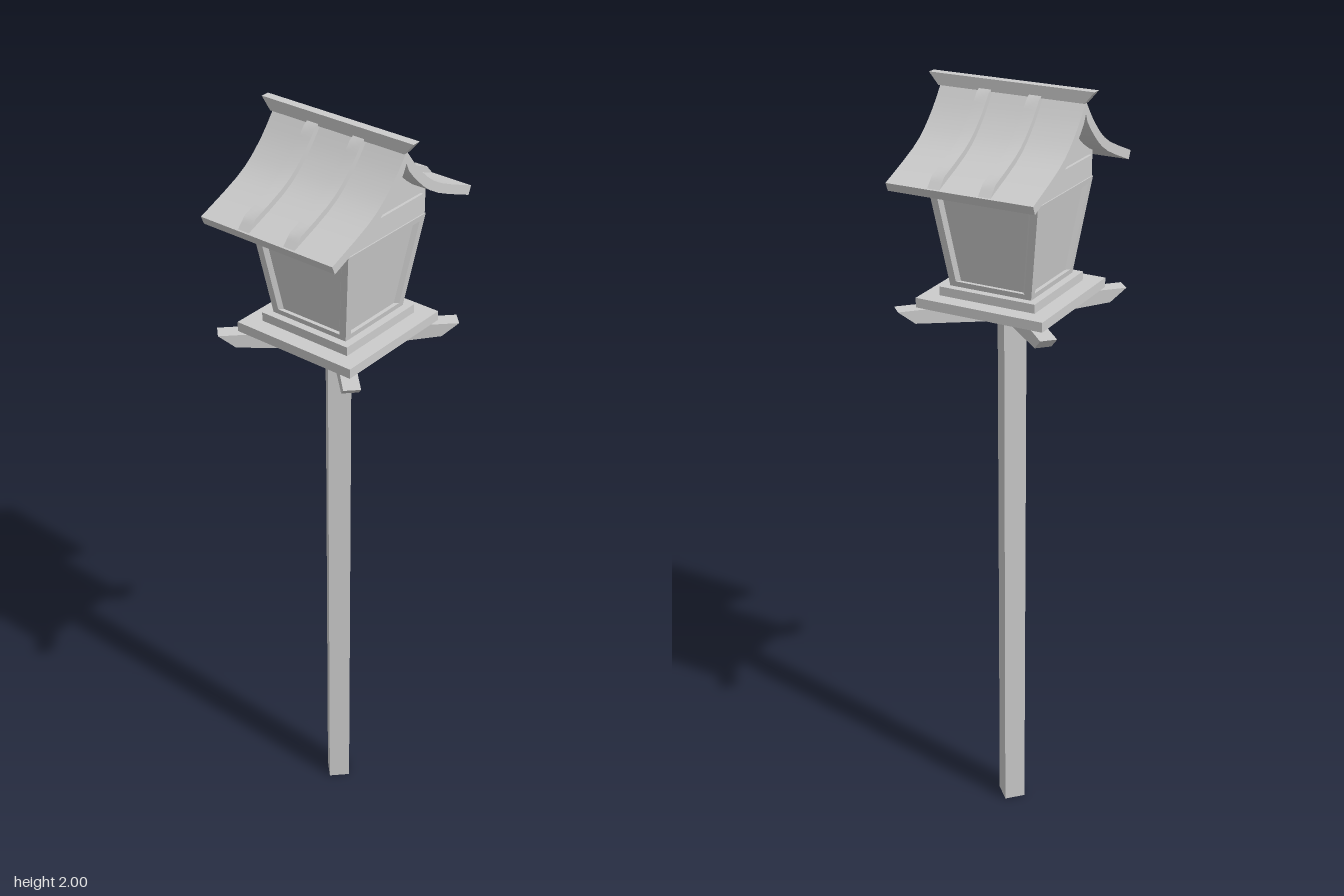
import * as THREE from 'three';
import { toCreasedNormals } from 'three/addons/utils/BufferGeometryUtils.js';

const material = new THREE.MeshStandardMaterial({ color: 0xcccccc });

const v2 = (list) => list.map(([x, y]) => new THREE.Vector2(x, y));

function add(parent, name, geometry) {
  const mesh = new THREE.Mesh(geometry, material);
  mesh.name = name;
  parent.add(mesh);
  return mesh;
}

// Extrudes an outline by a centred width
function prism(points, width) {
  const geometry = new THREE.ExtrudeGeometry(new THREE.Shape(points), { depth: width, bevelEnabled: false });
  return geometry.translate(0, 0, -width / 2);
}

// Same, with the outline drawn in (z, y) and the width running along x
const prismX = (points, width) => prism(points, width).rotateY(-Math.PI / 2);

function box(parent, name, w, h, d, y) {
  return add(parent, name, new THREE.BoxGeometry(w, h, d).translate(0, y + h / 2, 0));
}

// Tapered lantern: half width at a given height
const BODY_LOW = 1.53, BODY_HIGH = 1.765;
const half = (y) => 0.107 + (0.14 - 0.107) * (y - BODY_LOW) / (BODY_HIGH - BODY_LOW);

// One leaning frame with a window hole, mitred into its neighbours
function frameGeometry(depth) {
  const trapezoid = (y0, y1, inset) => v2([
    [-half(y0) + inset, y0], [half(y0) - inset, y0], [half(y1) - inset, y1], [-half(y1) + inset, y1],
  ]);
  const shape = new THREE.Shape(trapezoid(BODY_LOW, BODY_HIGH, 0));
  shape.holes.push(new THREE.Path(trapezoid(BODY_LOW + 0.014, BODY_HIGH - 0.014, 0.018)));
  const geometry = new THREE.ExtrudeGeometry(shape, { depth, bevelEnabled: false });
  const p = geometry.attributes.position;
  for (let i = 0; i < p.count; i++) {
    const h = half(p.getY(i));
    const z = h - depth + p.getZ(i);
    p.setXYZ(i, p.getX(i) * z / h, p.getY(i), z);
  }
  geometry.computeVertexNormals();
  return geometry;
}

// Curved slab following the roof line between two offsets along its normal
const roofCurve = new THREE.SplineCurve(v2([[0, 1.975], [0.05, 1.915], [0.12, 1.86], [0.25, 1.805]]));
function roofSlab(lower, upper, width) {
  const low = [], high = [];
  for (let i = 0; i <= 10; i++) {
    const p = roofCurve.getPoint(i / 10), t = roofCurve.getTangent(i / 10);
    const offset = (d) => new THREE.Vector2(Math.max(0, p.x - t.y * d * (i ? 1 : 0)), p.y + t.x * d);
    // the rib's end is cut back so that it leans inwards
    const top = offset(upper);
    if (i === 10 && upper > 0) top.x -= 0.02;
    low.push(offset(lower));
    high.unshift(top);
  }
  return toCreasedNormals(prismX([...low, ...high], width), 0.5);
}

export function createModel() {
  const model = new THREE.Group();
  model.name = 'lanternOnPost';

  // Square post set cornerwise
  add(model, 'post', new THREE.BoxGeometry(0.056, 1.485, 0.056).translate(0, 0.7425, 0).rotateY(Math.PI / 4));

  // Diagonal support arms with undercut ends
  const arm = prism(v2([[0, 1.435], [0.03, 1.435], [0.243, 1.452], [0.284, 1.485], [0, 1.485]]), 0.04);
  for (let i = 0; i < 4; i++) add(model, 'supportArm', arm).rotation.y = Math.PI / 4 + i * Math.PI / 2;

  // Stepped base
  box(model, 'lowerTray', 0.334, 0.024, 0.334, 1.485);
  box(model, 'upperTray', 0.252, 0.022, 0.252, 1.509);

  // Lantern panes and frames
  const inset = 0.01, diagonal = Math.SQRT2;
  const core = new THREE.CylinderGeometry(
    (half(BODY_HIGH) - inset) * diagonal, (half(BODY_LOW) - inset) * diagonal, BODY_HIGH - BODY_LOW, 4, 1);
  core.rotateY(Math.PI / 4).translate(0, (BODY_LOW + BODY_HIGH) / 2, 0);
  add(model, 'panes', core.toNonIndexed()).geometry.computeVertexNormals();
  const frame = frameGeometry(inset);
  for (let i = 0; i < 4; i++) add(model, 'windowFrame', frame).rotation.y = i * Math.PI / 2;

  // Gabled upper wall and its lintel bars
  const wall = [[0.14, BODY_HIGH], [0.14, 1.835], [0.11, 1.85], [0.05, 1.897], [0, 1.955]];
  const mirrored = wall.slice(0, -1).reverse().map(([z, y]) => [-z, y]);
  add(model, 'gableWall', prismX(v2([...wall, ...mirrored]), 0.274));
  box(model, 'lintel', 0.288, 0.035, 0.244, 1.785);

  // Two curved roof slopes, each with two ribs
  for (const turn of [0, Math.PI]) {
    const slope = new THREE.Group();
    slope.name = 'roofSlope';
    slope.rotation.y = turn;
    add(slope, 'roofSheet', roofSlab(-0.022, 0, 0.37));
    const rib = roofSlab(-0.002, 0.014, 0.031);
    for (const x of [-0.064, 0.064]) add(slope, 'roofRib', rib).position.x = x;
    model.add(slope);
  }

  // Ridge beam, longer along its top
  add(model, 'ridgeBeam', prism(v2([[-0.186, 1.972], [0.186, 1.972], [0.21, 2], [-0.21, 2]]), 0.022));

  return model;
}
